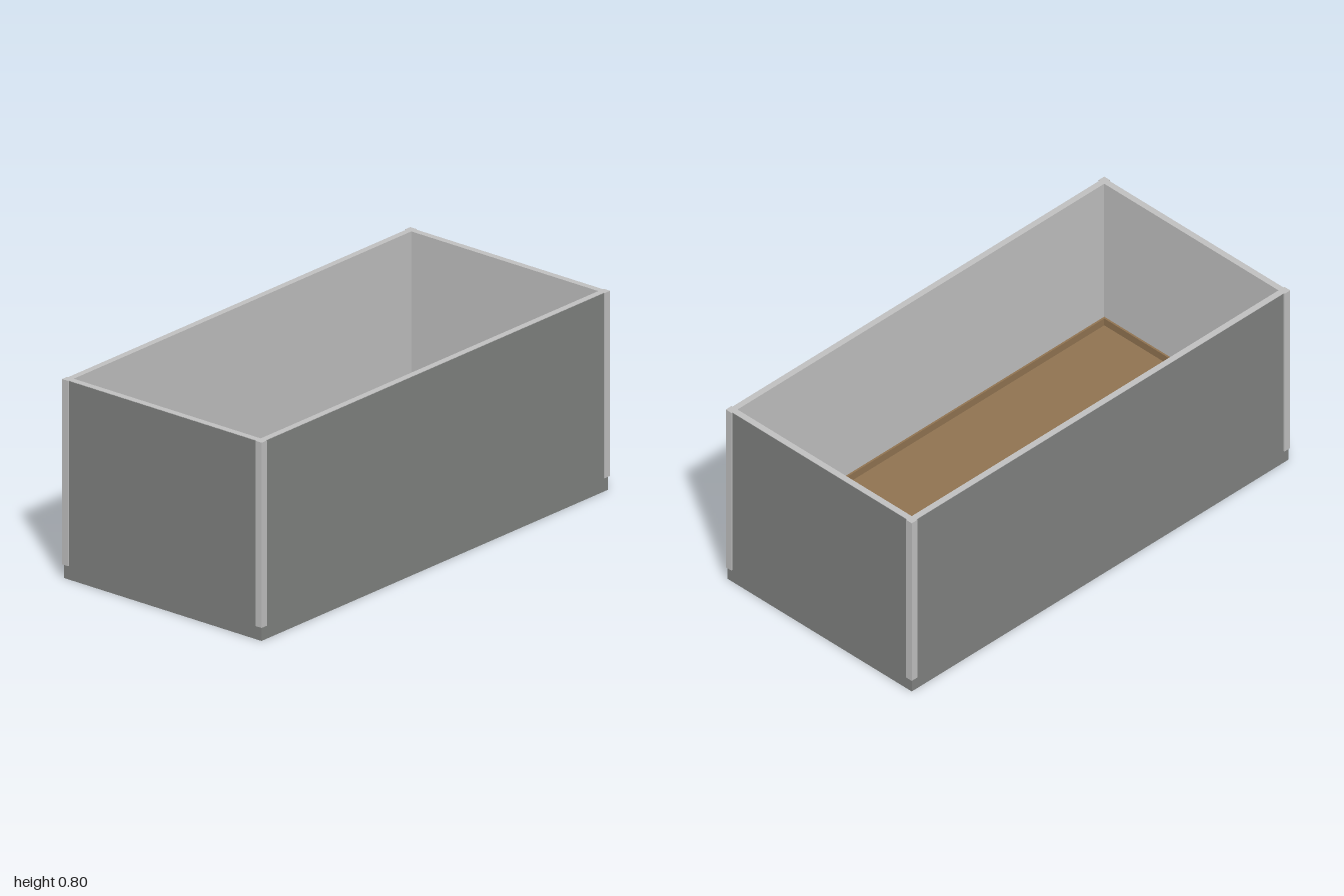
import * as THREE from 'three';

export function createModel() {
  const model = new THREE.Group();
  model.name = 'openContainer';

  const mat = (name, color) => {
    const m = new THREE.MeshStandardMaterial({ color });
    m.name = name;
    return m;
  };
  const steel = mat('greySteel', 0x808280);
  const lightSteel = mat('lightSteel', 0xc0c0c0);
  const tanWood = mat('tanWood', 0x907351);
  const joistWood = mat('joistWood', 0xac744a);

  // Box given by its minimum and maximum corners
  const box = (parent, name, material, [x0, y0, z0], [x1, y1, z1]) => {
    const mesh = new THREE.Mesh(new THREE.BoxGeometry(x1 - x0, y1 - y0, z1 - z0), material);
    mesh.position.set((x0 + x1) / 2, (y0 + y1) / 2, (z0 + z1) / 2);
    mesh.name = name;
    parent.add(mesh);
  };

  // Rectangular ring with outer half sizes hx, hz and rail width w
  const ring = (name, material, hx, hz, w, y0, y1) => {
    const shape = new THREE.Shape([
      [-hx, -hz], [hx, -hz], [hx, hz], [-hx, hz],
    ].map(([x, z]) => new THREE.Vector2(x, z)));
    const ix = hx - w, iz = hz - w;
    shape.holes.push(new THREE.Path([
      [-ix, -iz], [-ix, iz], [ix, iz], [ix, -iz],
    ].map(([x, z]) => new THREE.Vector2(x, z))));
    const geometry = new THREE.ExtrudeGeometry(shape, { depth: y1 - y0, bevelEnabled: false });
    geometry.rotateX(-Math.PI / 2);
    const mesh = new THREE.Mesh(geometry, material);
    mesh.position.y = y0;
    mesh.name = name;
    model.add(mesh);
  };

  // Walls: grey outer skin, light inner lining and a thin light top rim
  ring('outerWalls', steel, 0.485, 0.995, 0.005, 0, 0.798);
  ring('innerLining', lightSteel, 0.48, 0.99, 0.021, 0.13, 0.798);
  ring('topRim', lightSteel, 0.485, 0.995, 0.026, 0.798, 0.8);

  // Base rail under the floor
  ring('baseRail', steel, 0.48, 0.99, 0.055, 0, 0.045);

  // Corner trims
  for (const sx of [-1, 1]) {
    for (const sz of [-1, 1]) {
      const x = [0.46 * sx, 0.49 * sx].sort((a, b) => a - b);
      const z = [0.97 * sz, sz].sort((a, b) => a - b);
      box(model, 'cornerTrim', lightSteel, [x[0], 0.055, z[0]], [x[1], 0.8, z[1]]);
    }
  }

  // Floor with a low skirting board around it
  box(model, 'floor', tanWood, [-0.475, 0.125, -0.985], [0.475, 0.14, 0.985]);
  ring('skirting', tanWood, 0.46, 0.97, 0.009, 0.138, 0.172);

  // Joists and the boards closing their ends
  const joists = new THREE.Group();
  joists.name = 'floorJoists';
  model.add(joists);
  const count = 16, pitch = 0.119;
  for (let i = 0; i < count; i++) {
    const z = (i - (count - 1) / 2) * pitch;
    box(joists, 'joist', joistWood, [-0.45, 0.045, z - 0.0125], [0.45, 0.125, z + 0.0125]);
  }
  ring('joistSurround', joistWood, 0.478, 0.988, 0.03, 0.045, 0.125);

  return model;
}
